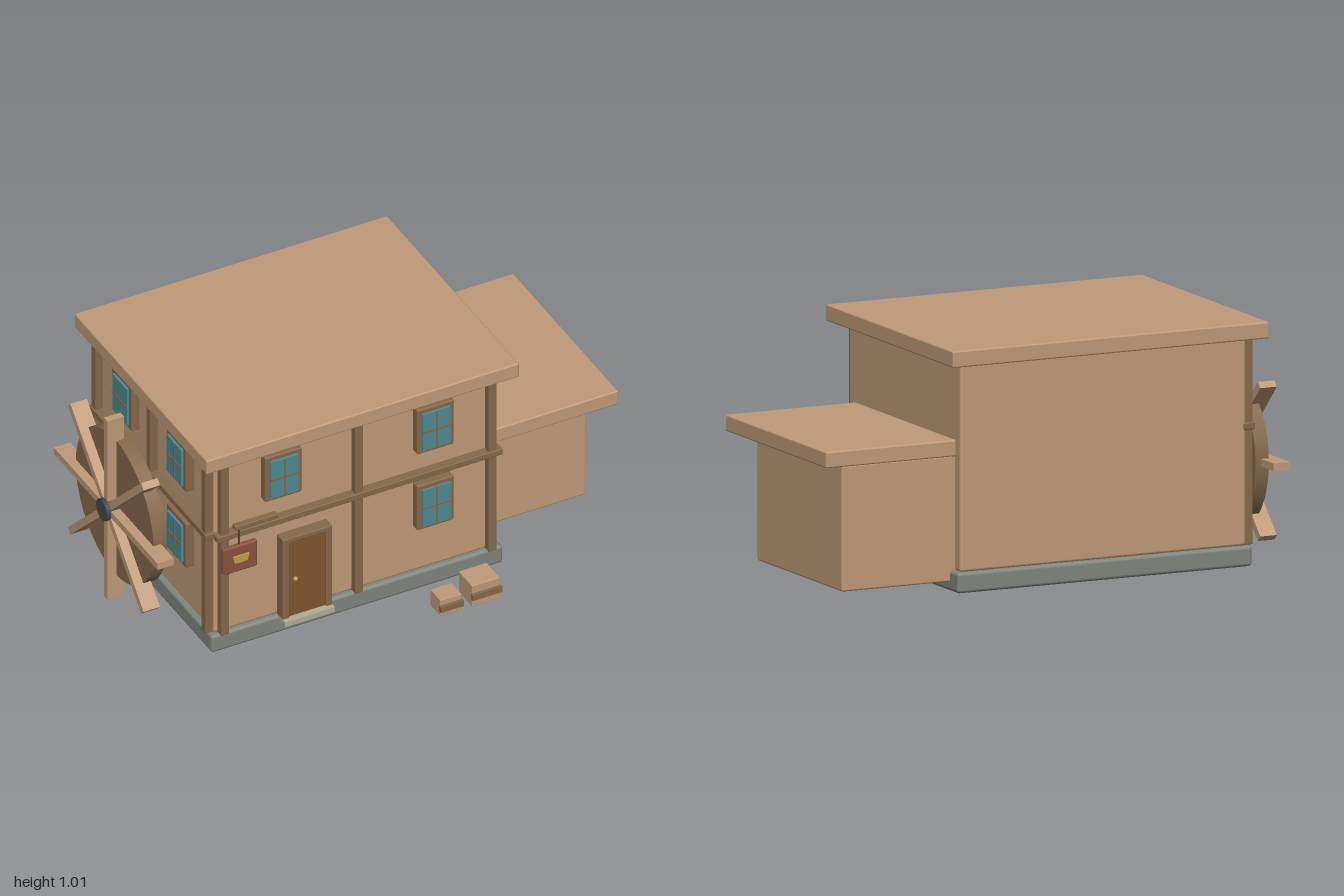
import * as THREE from 'three';
import { RoundedBoxGeometry } from 'three/addons/geometries/RoundedBoxGeometry.js';

const material = (color) => new THREE.MeshStandardMaterial({ color });
const plaster = material(0xc09a78);
const timber = material(0x86694b);
const stone = material(0x80857e);
const stepStone = material(0xb3ad98);
const glass = material(0x4f8a94);
const doorWood = material(0x80572f);
const iron = material(0x44484a);
const signRed = material(0x8a5040);
const brass = material(0xbfa045);

// Box from its extents, with optionally softened edges
function box(parent, name, mat, [x0, x1], [y0, y1], [z0, z1], radius = 0) {
  const size = [x1 - x0, y1 - y0, z1 - z0];
  const geometry = radius
    ? new RoundedBoxGeometry(...size, 2, radius)
    : new THREE.BoxGeometry(...size);
  const mesh = new THREE.Mesh(geometry, mat);
  mesh.name = name;
  mesh.position.set((x0 + x1) / 2, (y0 + y1) / 2, (z0 + z1) / 2);
  parent.add(mesh);
  return mesh;
}

function group(parent, name) {
  const g = new THREE.Group();
  g.name = name;
  parent.add(g);
  return g;
}

// Four-pane window standing out from the plane z = 0, centred on x, y
function addWindow(parent, x, y) {
  const g = group(parent, 'window');
  g.position.set(x, y, 0);
  box(g, 'windowFrame', timber, [-0.08, 0.08], [-0.106, 0.106], [-0.01, 0.035], 0.006);
  box(g, 'windowGlass', glass, [-0.06, 0.06], [-0.086, 0.086], [0.02, 0.045]);
  box(g, 'verticalMuntin', timber, [-0.004, 0.004], [-0.086, 0.086], [0.03, 0.048]);
  box(g, 'horizontalMuntin', timber, [-0.06, 0.06], [-0.004, 0.004], [0.03, 0.048]);
}

// Posts and a floor beam on the plane z = 0
function addTimbers(parent, posts, [x0, x1]) {
  for (const x of posts) {
    box(parent, 'post', timber, [x - 0.018, x + 0.018], [0.13, 0.95], [-0.01, 0.033], 0.004);
  }
  box(parent, 'floorBeam', timber, [x0, x1], [0.584, 0.612], [-0.01, 0.038], 0.004);
}

function addDoor(parent) {
  const g = group(parent, 'door');
  for (const [x0, x1] of [[-0.525, -0.495], [-0.335, -0.308]]) {
    box(g, 'doorJamb', timber, [x0, x1], [0.12, 0.51], [0.38, 0.445], 0.004);
  }
  box(g, 'doorLintel', timber, [-0.525, -0.308], [0.488, 0.51], [0.38, 0.445], 0.004);
  box(g, 'doorLeaf', doorWood, [-0.496, -0.334], [0.125, 0.489], [0.38, 0.436]);
  box(g, 'doorStep', stepStone, [-0.525, -0.308], [0.107, 0.13], [0.4, 0.465]);
  const knob = new THREE.Mesh(new THREE.SphereGeometry(0.01, 16, 12), brass);
  knob.name = 'doorKnob';
  knob.position.set(-0.47, 0.31, 0.447);
  g.add(knob);
}

function addSign(parent) {
  const g = group(parent, 'hangingSign');
  box(g, 'signBracket', timber, [-0.735, -0.55], [0.63, 0.652], [0.425, 0.452], 0.004);
  const rod = new THREE.Mesh(new THREE.CylinderGeometry(0.004, 0.004, 0.08, 10), iron);
  rod.name = 'signRod';
  rod.position.set(-0.715, 0.595, 0.443);
  g.add(rod);
  box(g, 'signBoard', signRed, [-0.79, -0.64], [0.436, 0.56], [0.432, 0.455], 0.008);
  // Tapered plate on the board
  const shape = new THREE.Shape([[-0.036, 0.016], [-0.028, -0.016], [0.028, -0.016], [0.036, 0.016]]
    .map(([x, y]) => new THREE.Vector2(x, y)));
  const plate = new THREE.Mesh(
    new THREE.ExtrudeGeometry(shape, { depth: 0.012, bevelEnabled: false }), brass);
  plate.name = 'signPlate';
  plate.position.set(-0.715, 0.5, 0.45);
  g.add(plate);
}

// Solid wheel with eight paddles, axle along x
function addWaterWheel(parent) {
  const g = group(parent, 'waterWheel');
  g.position.set(0, 0.43, -0.155);
  const disc = new THREE.Mesh(new THREE.CylinderGeometry(0.322, 0.322, 0.058, 40), timber);
  disc.name = 'wheelDisc';
  disc.rotation.z = Math.PI / 2;
  disc.position.x = -0.914;
  g.add(disc);
  const hub = new THREE.Mesh(new THREE.CylinderGeometry(0.046, 0.046, 0.22, 28), iron);
  hub.name = 'wheelAxle';
  hub.rotation.z = Math.PI / 2;
  hub.position.x = -0.89;
  g.add(hub);
  for (let i = 0; i < 8; i++) {
    const arm = group(g, 'paddleArm');
    arm.rotation.x = (i * Math.PI) / 4;
    box(arm, 'paddle', plaster, [-0.982, -0.91], [0.02, 0.428], [-0.015, 0.015]);
  }
}

function addCrate(parent, [x0, x1], [y0, y1], [z0, z1]) {
  const g = group(parent, 'crate');
  const mid = (y0 + y1) / 2;
  box(g, 'crateBody', plaster, [x0, x1], [y0, y1], [z0, z1], 0.003);
  box(g, 'crateSlat', timber, [x0 - 0.004, x1 + 0.004], [mid - 0.013, mid + 0.013], [z1 - 0.002, z1 + 0.014]);
}

export function createModel() {
  const model = new THREE.Group();
  model.name = 'mill';

  // Main house
  box(model, 'foundation', stone, [-0.82, 0.455], [0.048, 0.13], [-0.582, 0.415], 0.014);
  box(model, 'walls', plaster, [-0.8, 0.435], [0.128, 0.952], [-0.565, 0.397], 0.012);
  box(model, 'roof', plaster, [-0.865, 0.503], [0.95, 1.016], [-0.635, 0.458], 0.007);

  // Side annex
  box(model, 'annexWalls', plaster, [0.4, 0.923], [0.085, 0.582], [-0.515, 0.217], 0.008);
  box(model, 'annexRoof', plaster, [0.38, 0.995], [0.578, 0.643], [-0.522, 0.348], 0.007);

  // Front timbers and windows
  const front = group(model, 'frontFacade');
  front.position.z = 0.397;
  addTimbers(front, [-0.768, -0.182, 0.402], [-0.805, 0.442]);
  for (const [x, y] of [[-0.515, 0.813], [0.15, 0.813], [0.15, 0.449]]) addWindow(front, x, y);

  // Wheel-side timbers and windows, local x running along z
  const side = group(model, 'wheelSideFacade');
  side.rotation.y = -Math.PI / 2;
  side.position.x = -0.8;
  addTimbers(side, [-0.54, -0.085, 0.37], [-0.568, 0.4]);
  for (const z of [-0.3, 0.15]) {
    for (const y of [0.813, 0.449]) addWindow(side, z, y);
  }

  addDoor(model);
  addSign(model);
  addWaterWheel(model);

  // Crates beside the entrance
  addCrate(model, [0.075, 0.168], [0.05, 0.126], [0.53, 0.613]);
  addCrate(model, [0.215, 0.337], [0.046, 0.145], [0.5, 0.61]);
  return model;
}
